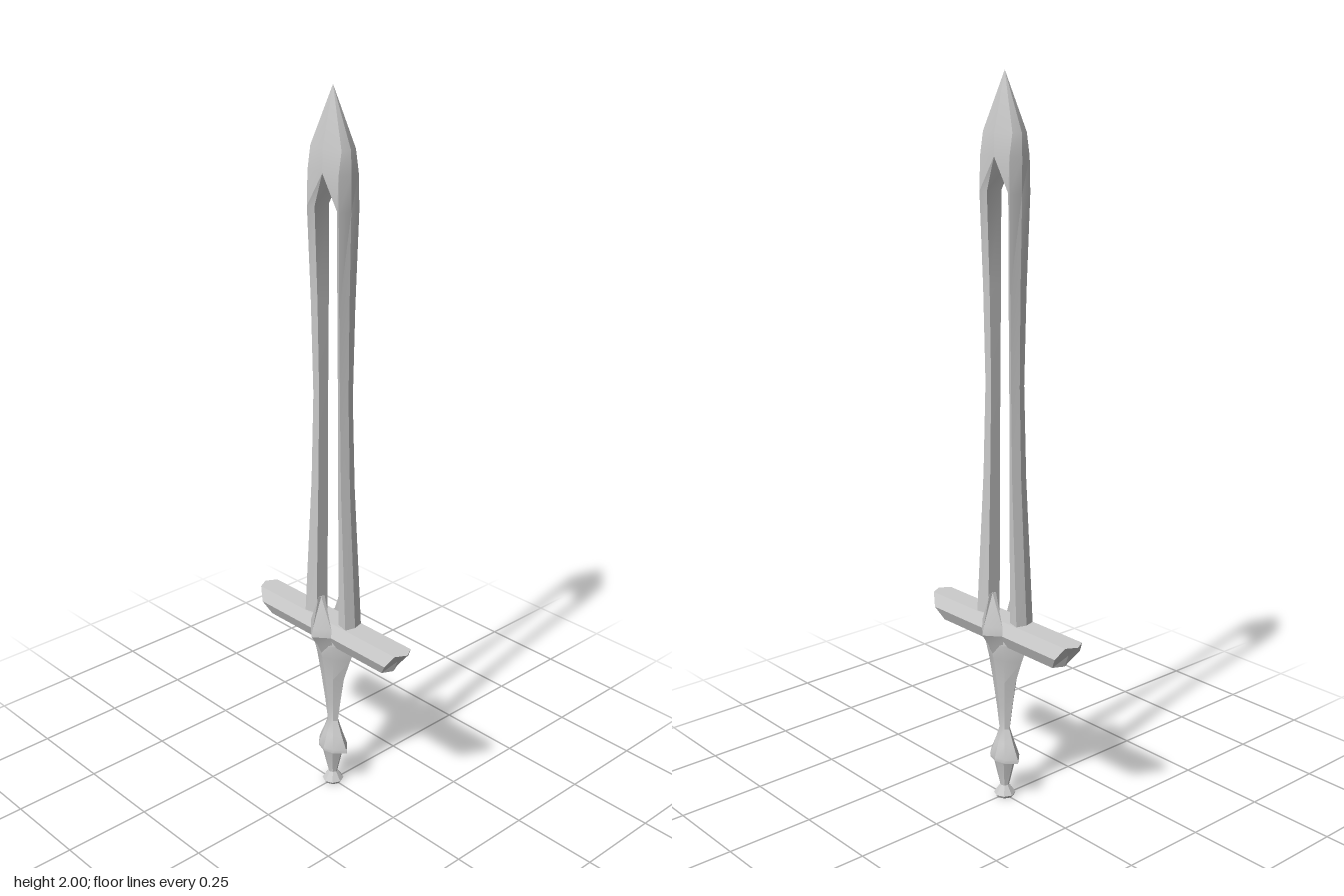
import * as THREE from 'three';
import { toCreasedNormals } from 'three/addons/utils/BufferGeometryUtils.js';

const material = new THREE.MeshStandardMaterial({ color: 0xcccccc });

// Skins a list of rings (arrays of [x, y, z]) and closes both ends.
function loft(name, rings, crease = 0.5) {
  const pos = [];
  const same = (a, b) => a.every((v, i) => Math.abs(v - b[i]) < 1e-6);
  const tri = (a, b, c) => {
    if (!same(a, b) && !same(b, c) && !same(c, a)) pos.push(...a, ...b, ...c);
  };
  const centre = (ring) => [0, 1, 2].map((k) => ring.reduce((s, p) => s + p[k], 0) / ring.length);
  const n = rings[0].length;
  const first = rings[0], last = rings[rings.length - 1];
  const c0 = centre(first), c1 = centre(last);
  for (let j = 0; j < n; j++) {
    const k = (j + 1) % n;
    for (let i = 0; i < rings.length - 1; i++) {
      const lo = rings[i], hi = rings[i + 1];
      tri(lo[j], hi[j], lo[k]);
      tri(lo[k], hi[j], hi[k]);
    }
    tri(c0, first[j], first[k]);
    tri(c1, last[k], last[j]);
  }
  const geometry = new THREE.BufferGeometry();
  geometry.setAttribute('position', new THREE.Float32BufferAttribute(pos, 3));
  const mesh = new THREE.Mesh(toCreasedNormals(geometry, crease), material);
  mesh.name = name;
  return mesh;
}

// Eight-sided section with ridges on the x and z axes.
const octagon = (y, x, z, fx = 0.55, fz = 0.75) => [
  [x, y, 0], [x * fx, y, z * fz], [0, y, z], [-x * fx, y, z * fz],
  [-x, y, 0], [-x * fx, y, -z * fz], [0, y, -z], [x * fx, y, -z * fz],
];

// Mirrors rings in x and keeps the winding outward.
const mirrorX = (rings) => rings.map((r) => r.map(([x, y, z]) => [-x, y, z]).reverse());
// Turns rings half round the y axis.
const turnY = (rings) => rings.map((r) => r.map(([x, y, z]) => [-x, y, -z]));

export function createModel() {
  const model = new THREE.Group();
  model.name = 'sword';

  // Blade: two prongs that meet in a pointed head
  const prong = [
    // y, inner x, outer x, half depth
    [0.5, 0.045, 0.092, 0.03],
    [0.62, 0.044, 0.085, 0.029],
    [0.95, 0.039, 0.066, 0.025],
    [1.2, 0.036, 0.059, 0.023],
    [1.45, 0.037, 0.061, 0.028],
    [1.7, 0.041, 0.066, 0.035],
  ].map(([y, xi, xo, z]) => [
    [xo, y, 0], [xo - 0.008, y, z], [xi, y, z * 0.7], [xi, y, -z * 0.7], [xo - 0.008, y, -z],
  ]);
  prong.push(
    [[0.066, 1.79, 0], [0.056, 1.79, 0.034], [0, 1.79, 0.036], [0, 1.79, -0.036], [0.056, 1.79, -0.034]],
    [[0.064, 1.85, 0], [0.056, 1.85, 0.024], [0, 1.85, 0.035], [0, 1.85, -0.035], [0.056, 1.85, -0.024]],
    Array.from({ length: 5 }, () => [0, 2, 0]),
  );
  model.add(loft('leftBladeProng', prong), loft('rightBladeProng', mirrorX(prong)));

  // Crossguard: hexagonal bar with undercut, pointed ends
  const guardEnd = [
    // end x, y, z
    [0.25, 0.51, 0.046], [0.273, 0.545, 0.031], [0.29, 0.545, 0], [0.273, 0.545, -0.031],
    [0.25, 0.51, -0.046], [0.225, 0.475, -0.031], [0.24, 0.475, 0], [0.225, 0.475, 0.031],
  ];
  model.add(loft('crossguard', [guardEnd.map(([x, y, z]) => [-x, y, z]), guardEnd], 0.3));

  // Ridged spikes on the front and back of the crossguard
  const spike = [
    // y, half width, side z, ridge z, inner z
    [0.44, 0.03, 0.025, 0.042, 0.01],
    [0.475, 0.036, 0.036, 0.058, 0.015],
    [0.51, 0.042, 0.046, 0.081, 0.02],
    [0.535, 0.042, 0.045, 0.076, 0.025],
    [0.625, 0.001, 0.045, 0.055, 0.032],
  ].map(([y, w, zs, zr, zi]) => [[w, y, zs], [0, y, zr], [-w, y, zs], [0, y, zi]]);
  model.add(loft('frontSpike', spike, 0.3), loft('backSpike', turnY(spike), 0.3));

  // Grip: narrows from the guard, then flares into a collar
  model.add(loft('grip', [
    octagon(0.114, 0.034, 0.03),
    octagon(0.117, 0.056, 0.036),
    octagon(0.128, 0.056, 0.037),
    octagon(0.17, 0.036, 0.024),
    octagon(0.21, 0.02, 0.013),
    octagon(0.28, 0.031, 0.02),
    octagon(0.36, 0.045, 0.03),
    octagon(0.43, 0.07, 0.041, 0.45),
    octagon(0.478, 0.09, 0.052, 0.42),
    octagon(0.51, 0.09, 0.046, 0.42),
  ], 0.4));

  // Pommel: tapered stem and small faceted foot
  model.add(loft('pommelStem', [
    octagon(0.025, 0.013, 0.013, 0.7, 0.7),
    octagon(0.035, 0.013, 0.013, 0.7, 0.7),
    octagon(0.12, 0.037, 0.034, 0.6, 0.7),
  ], 0.4));
  model.add(loft('pommelFoot', [
    octagon(0, 0.026, 0.026, 0.7, 0.7),
    octagon(0.008, 0.031, 0.031, 0.7, 0.7),
    octagon(0.034, 0.013, 0.013, 0.7, 0.7),
  ], 0.4));

  return model;
}
